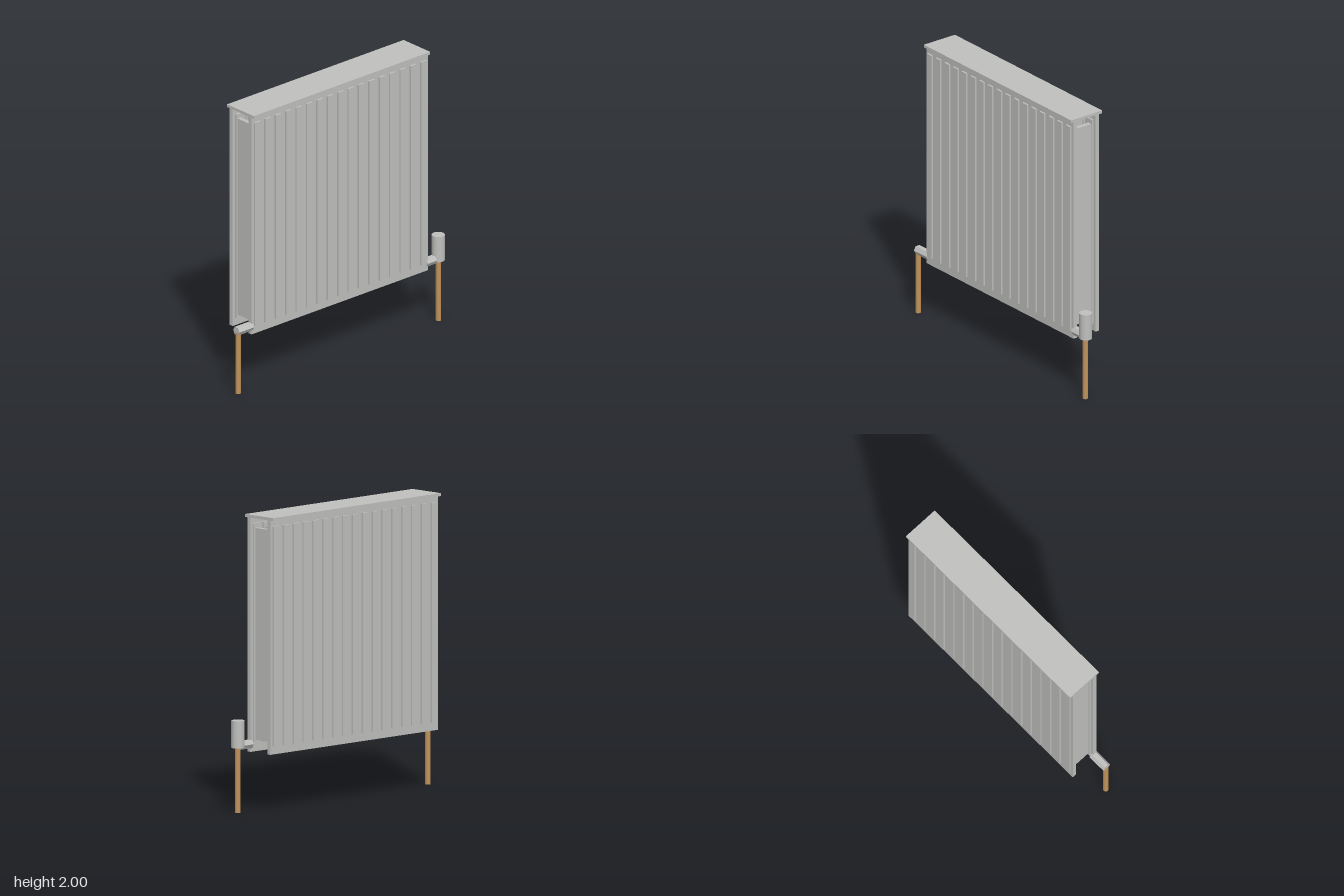
import * as THREE from 'three';

export function createModel() {
  const model = new THREE.Group();
  model.name = 'radiator';
  const enamel = new THREE.MeshStandardMaterial({ name: 'greyEnamel', color: 0xc0c0be });
  const copper = new THREE.MeshStandardMaterial({ name: 'copper', color: 0xc1935a });
  const hexMetal = enamel.clone();
  hexMetal.name = 'facetedEnamel';
  hexMetal.flatShading = true;

  const add = (name, geometry, material, x, y, z, parent = model) => {
    const mesh = new THREE.Mesh(geometry, material);
    mesh.name = name;
    mesh.position.set(x, y, z);
    parent.add(mesh);
    return mesh;
  };

  const cx = -0.016, width = 1.586, ribCount = 17, pitch = 0.0934;

  // Top cover
  add('topCover', new THREE.BoxGeometry(width, 0.02, 0.265), enamel, cx, 1.99, -0.003);

  // Two flat panels, each with pressed ribs showing on both faces
  const panelGeo = new THREE.BoxGeometry(width, 1.58, 0.03);
  const ribGeo = new THREE.BoxGeometry(0.05, 1.485, 0.056);
  for (const [name, z] of [['frontPanel', 0.092], ['backPanel', -0.095]]) {
    const group = new THREE.Group();
    group.name = name;
    model.add(group);
    add('sheet', panelGeo, enamel, cx, 1.19, z, group);
    for (let i = 0; i < ribCount; i++)
      add('rib', ribGeo, enamel, cx + (i - (ribCount - 1) / 2) * pitch, 1.198, z, group);
  }

  // Convector fins bridging the panels
  const fins = new THREE.Group();
  fins.name = 'convectorFins';
  model.add(fins);
  const finGeo = new THREE.BoxGeometry(0.03, 1.43, 0.134);
  for (let i = 0; i < ribCount; i++)
    add('fin', finGeo, enamel, cx + (i - (ribCount - 1) / 2) * pitch, 1.195, -0.001, fins);

  // Hexagonal side connectors, corners pointing front and back
  const connector = (name, x0, x1) => {
    const geo = new THREE.CylinderGeometry(0.032, 0.032, x1 - x0, 6);
    geo.rotateZ(Math.PI / 2);
    add(name, geo, hexMetal, (x0 + x1) / 2, 0.453, 0.088);
  };
  connector('rightConnector', -0.928, -0.795);
  connector('leftConnector', 0.765, 0.885);

  // Copper feed pipes
  const pipe = (name, x, h) =>
    add(name, new THREE.CylinderGeometry(0.019, 0.019, h, 12), copper, x, h / 2, 0.092);
  pipe('rightPipe', -0.915, 0.445);
  pipe('leftPipe', 0.885, 0.445);

  // Valve knob
  add('valveKnob', new THREE.CylinderGeometry(0.044, 0.044, 0.184, 32), enamel, 0.885, 0.531, 0.09);

  return model;
}
